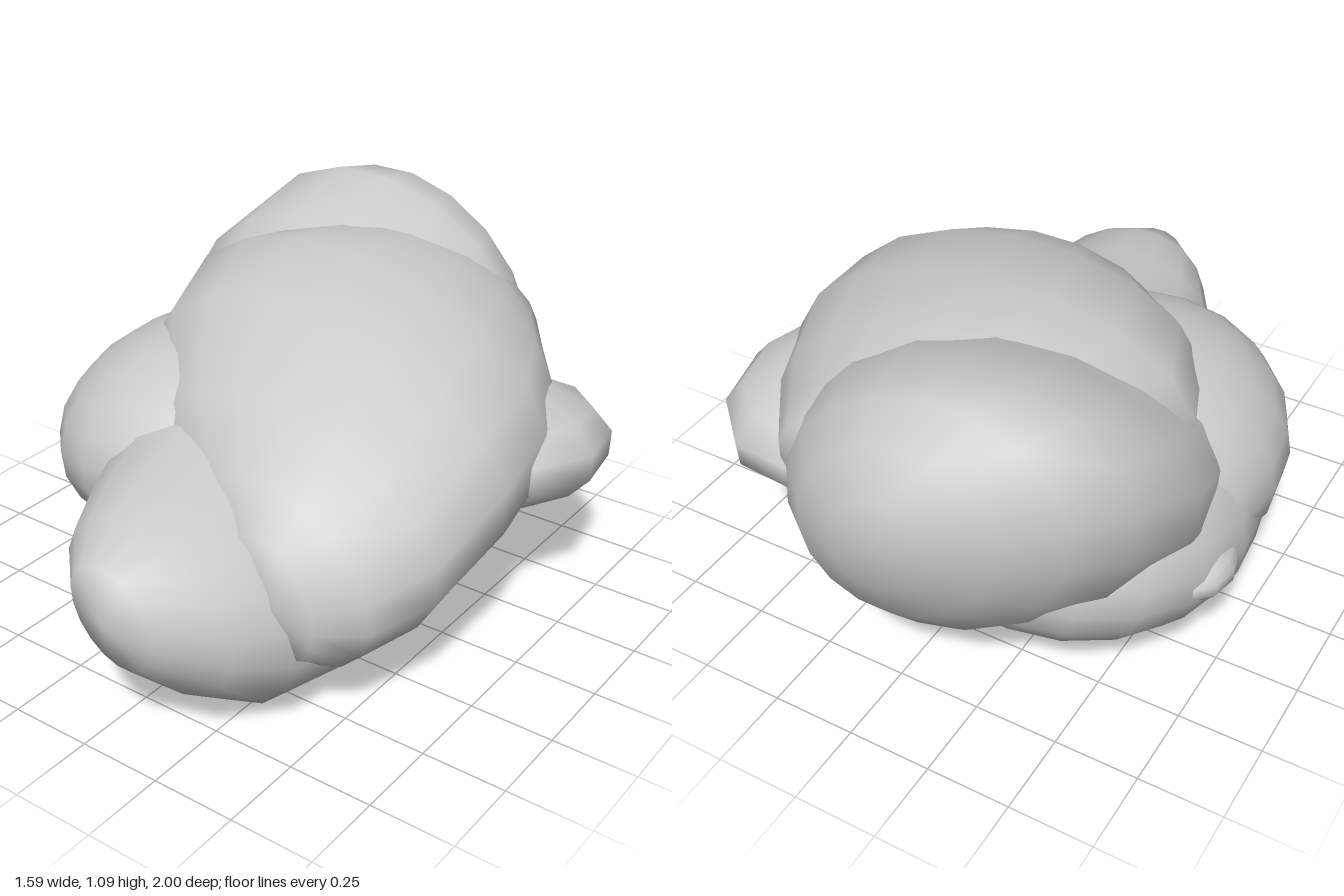
import * as THREE from 'three';

const material = new THREE.MeshStandardMaterial({ color: 0xcccccc, roughness: 0.9 });

// Closed boulder lofted along z from sections [z, cx, cy, rx, ry];
// lean slides the top of each section sideways.
function boulder(name, sections, lean, sides = 18) {
  const pos = [], index = [];
  const inner = sections.slice(1, -1);
  for (const [z, cx, cy, rx, ry] of inner) {
    for (let i = 0; i < sides; i++) {
      const a = (i / sides) * Math.PI * 2;
      const dy = Math.sin(a) * ry;
      pos.push(cx + Math.cos(a) * rx + lean * dy, cy + dy, z);
    }
  }
  const front = inner.length * sides, back = front + 1;
  for (const [z, cx, cy] of [sections[0], sections.at(-1)]) pos.push(cx, cy, z);
  const last = (inner.length - 1) * sides;
  for (let i = 0; i < sides; i++) {
    const j = (i + 1) % sides;
    index.push(front, i, j, back, last + j, last + i);
    for (let r = 0; r < last; r += sides) {
      index.push(r + i, r + sides + i, r + j, r + j, r + sides + i, r + sides + j);
    }
  }
  const geo = new THREE.BufferGeometry();
  geo.setAttribute('position', new THREE.Float32BufferAttribute(pos, 3));
  geo.setIndex(index);
  geo.computeVertexNormals();
  const mesh = new THREE.Mesh(geo, material);
  mesh.name = name;
  return mesh;
}

// Rounded lump: a coarse, smooth-shaded ellipsoid
function lump(name, center, radii, tilt, segments = 18) {
  const geo = new THREE.SphereGeometry(1, segments, Math.round(segments * 0.7));
  geo.scale(...radii);
  const mesh = new THREE.Mesh(geo, material);
  mesh.name = name;
  mesh.position.set(...center);
  mesh.rotation.set(...tilt);
  return mesh;
}

export function createModel() {
  const rock = new THREE.Group();
  rock.name = 'rock';

  // Long lower stone, rising from the front nose to the high back
  rock.add(boulder('lowerStone', [
    [1.0, 0.1, 0.42],
    [0.96, 0.09, 0.42, 0.13, 0.14],
    [0.83, 0.1, 0.39, 0.27, 0.235],
    [0.65, 0.08, 0.345, 0.36, 0.315],
    [0.42, 0.05, 0.345, 0.45, 0.345],
    [0.2, 0, 0.375, 0.54, 0.372],
    [-0.1, -0.06, 0.45, 0.61, 0.39],
    [-0.4, -0.12, 0.575, 0.6, 0.44],
    [-0.65, -0.14, 0.66, 0.52, 0.445],
    [-0.8, -0.13, 0.69, 0.42, 0.39],
    [-0.91, -0.12, 0.71, 0.29, 0.28],
    [-0.98, -0.12, 0.73, 0.14, 0.15],
    [-1.0, -0.13, 0.74],
  ], -0.26));

  // Broad upper stone
  rock.add(boulder('upperStone', [
    [0.69, 0.4, 0.42],
    [0.65, 0.36, 0.42, 0.13, 0.17],
    [0.55, 0.31, 0.435, 0.29, 0.255],
    [0.38, 0.22, 0.5, 0.48, 0.315],
    [0.1, 0.12, 0.605, 0.615, 0.37],
    [-0.2, 0.04, 0.645, 0.65, 0.39],
    [-0.47, 0.04, 0.66, 0.52, 0.355],
    [-0.65, 0.06, 0.67, 0.37, 0.28],
    [-0.75, 0.12, 0.71, 0.23, 0.15],
    [-0.79, 0.18, 0.74],
  ], -0.28));

  // Stones bulging out at the sides and underneath
  rock.add(lump('sideStone', [-0.31, 0.485, 0.01], [0.47, 0.335, 0.54], [0, 0, 0.17]));
  rock.add(lump('underStone', [-0.28, 0.42, -0.19], [0.505, 0.34, 0.61], [0.2, 0, 0.12]));
  rock.add(lump('leftKnob', [0.48, 0.52, -0.32], [0.32, 0.175, 0.36], [-0.1, -0.08, 0], 10));
  rock.add(lump('rightKnob', [-0.71, 0.4, -0.31], [0.09, 0.07, 0.13], [0, 0, 0], 10));

  return rock;
}
